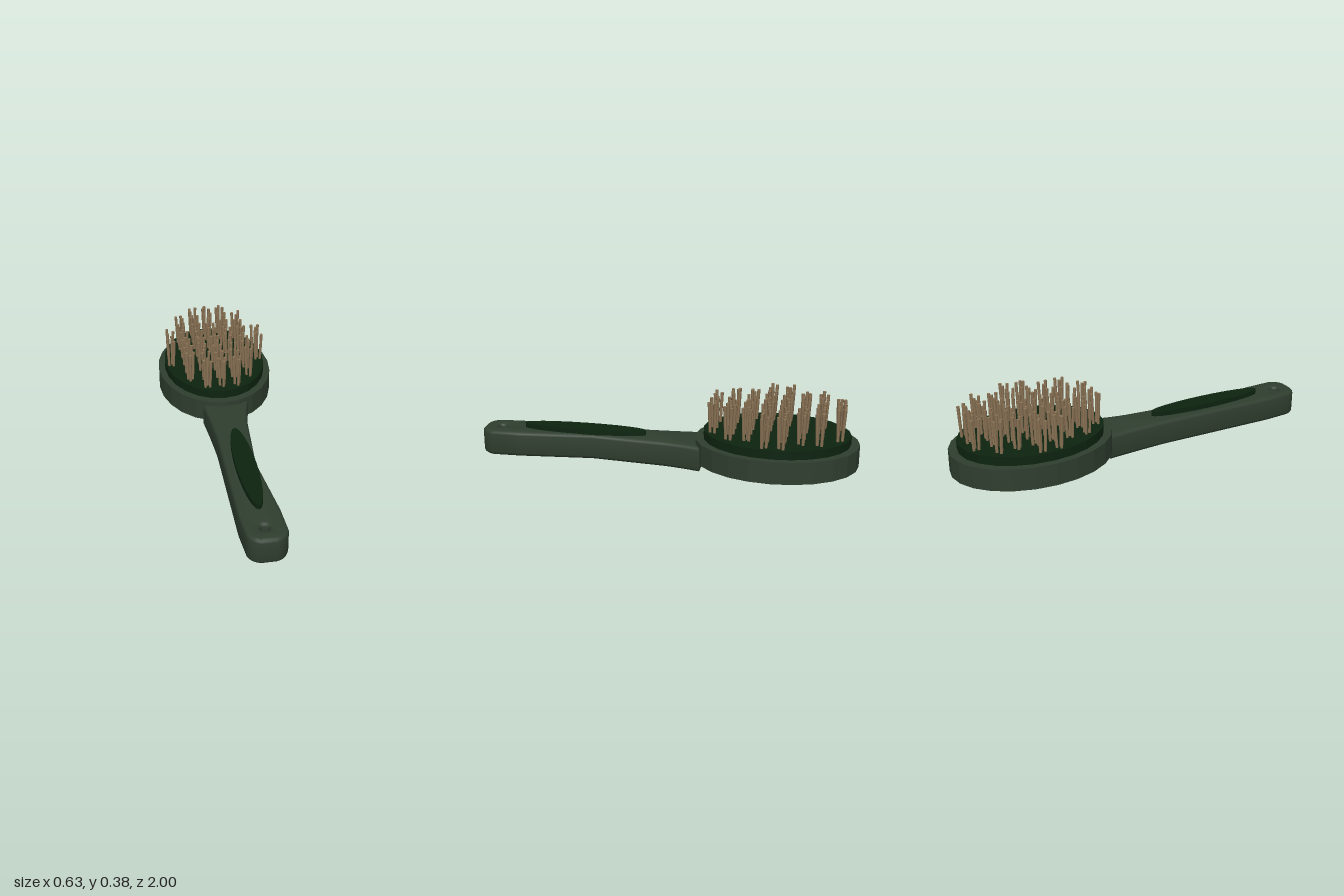
import * as THREE from 'three';
import { toCreasedNormals } from 'three/addons/utils/BufferGeometryUtils.js';

const bodyGreen = new THREE.MeshStandardMaterial({ name: 'body green', color: 0x2f3e2f });
const padGreen = new THREE.MeshStandardMaterial({ name: 'pad green', color: 0x0d2410 });
const bristleTan = new THREE.MeshStandardMaterial({ name: 'bristle tan', color: 0x8b7355 });

const HEAD_Z = -0.577;

// Extrudes a plan-view shape (x, z) between two heights
function slab(name, shape, y0, y1, material, bevel = 0) {
  let geo = new THREE.ExtrudeGeometry(shape, {
    depth: y1 - y0 - 2 * bevel,
    bevelEnabled: bevel > 0,
    bevelThickness: bevel,
    bevelSize: bevel,
    bevelOffset: -bevel,
    bevelSegments: 3,
    curveSegments: 12,
  });
  geo.rotateX(Math.PI / 2);
  geo.translate(0, y1 - bevel, 0);
  if (bevel) geo = toCreasedNormals(geo, 0.6);
  const mesh = new THREE.Mesh(geo, material);
  mesh.name = name;
  return mesh;
}

function ellipse(z, rx, rz) {
  const s = new THREE.Shape();
  s.absellipse(0, z, rx, rz, 0, Math.PI * 2, false, 0);
  return s;
}

// Handle outline: nearly straight on one side, waisted on the other
function handleShape() {
  const s = new THREE.Shape();
  s.moveTo(-0.118, -0.2);
  s.lineTo(0.13, -0.2);
  s.quadraticCurveTo(0.1, -0.08, 0.09, 0);
  s.lineTo(0.06, 0.39);
  s.lineTo(0.1, 0.78);
  s.lineTo(0.105, 0.93);
  s.quadraticCurveTo(0.09, 0.99, 0.04, 1);
  s.lineTo(-0.03, 1);
  s.quadraticCurveTo(-0.08, 0.99, -0.092, 0.94);
  s.lineTo(-0.102, 0.8);
  s.lineTo(-0.095, 0.15);
  s.quadraticCurveTo(-0.1, 0, -0.118, -0.2);
  const hole = new THREE.Path();
  hole.absarc(0, 0.905, 0.022, 0, Math.PI * 2, true);
  s.holes.push(hole);
  return s;
}

// Tufts of three slightly splayed bristles on a grid inside the pad
function buildBristles() {
  let seed = 7;
  const rand = () => (seed = (seed * 16807) % 2147483647) / 2147483647;
  const group = new THREE.Group();
  group.name = 'bristles';
  const geo = new THREE.CylinderGeometry(0.0085, 0.0075, 1, 6);
  geo.translate(0, 0.5, 0);
  const up = new THREE.Vector3(0, 1, 0);
  for (let row = 0; row < 8; row++) {
    for (let col = -3; col <= 3; col++) {
      const x = col * 0.082;
      const dz = (row - 3.5) * 0.091;
      if ((x / 0.28) ** 2 + (dz / 0.38) ** 2 > 0.87) continue;
      const turn = rand() * Math.PI * 2;
      for (let i = 0; i < 3; i++) {
        const a = turn + (i * Math.PI * 2) / 3;
        const out = new THREE.Vector3(Math.cos(a), 0, Math.sin(a));
        const bristle = new THREE.Mesh(geo, bristleTan);
        bristle.name = 'bristle';
        bristle.position.set(x, 0.2, HEAD_Z + dz).addScaledVector(out, 0.014);
        bristle.scale.y = 0.165 + rand() * 0.017;
        bristle.quaternion.setFromUnitVectors(up, out.multiplyScalar(0.045).add(up).normalize());
        group.add(bristle);
      }
    }
  }
  return group;
}

export function createModel() {
  const model = new THREE.Group();
  model.name = 'hairbrush';
  model.add(
    slab('head', ellipse(HEAD_Z, 0.315, 0.423), 0.047, 0.163, bodyGreen),
    slab('cushionPad', ellipse(HEAD_Z, 0.28, 0.379), 0.15, 0.209, padGreen),
    slab('handle', handleShape(), 0, 0.136, bodyGreen, 0.018),
    slab('gripInset', ellipse(0.442, 0.052, 0.333), 0.12, 0.163, padGreen),
    buildBristles(),
  );
  return model;
}
